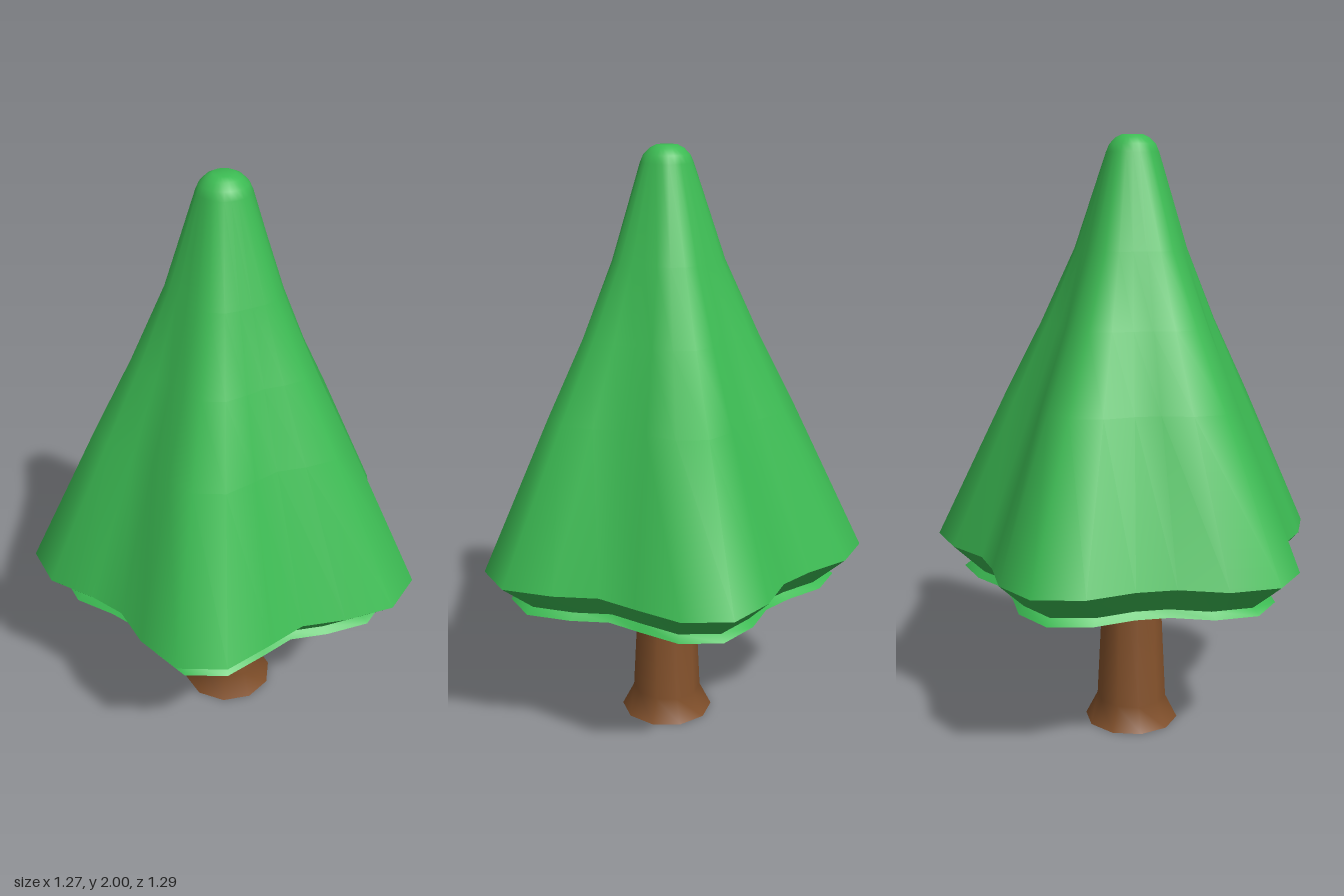
import * as THREE from 'three';

// Radii of the wavy canopy hem, evenly spaced counter-clockwise from +x
const HEM = [
  0.675, 0.606, 0.53, 0.547, 0.628, 0.672, 0.617, 0.535, 0.528, 0.61, 0.668, 0.633, 0.544,
  0.521, 0.59, 0.664, 0.651, 0.564, 0.52, 0.578, 0.66, 0.669, 0.589, 0.526, 0.567, 0.65,
];
const MEAN = 0.598;

// Smooth surface through closed rings, ordered from the top; each row is [y, mean radius, waviness]
function ringSurface(rows) {
  const n = HEM.length;
  const positions = [];
  const index = [];
  rows.forEach(([y, radius, wave], i) => {
    HEM.forEach((hem, j) => {
      const angle = (j / n) * Math.PI * 2;
      const r = radius * (1 + wave * (hem / MEAN - 1));
      positions.push(r * Math.cos(angle), y, -r * Math.sin(angle));
      if (i === rows.length - 1) return;
      const next = (j + 1) % n;
      const a = i * n + j, b = a + n, c = (i + 1) * n + next, d = i * n + next;
      index.push(a, b, c);
      if (radius > 0) index.push(a, c, d);
    });
  });
  const geometry = new THREE.BufferGeometry();
  geometry.setAttribute('position', new THREE.Float32BufferAttribute(positions, 3));
  geometry.setIndex(index);
  geometry.computeVertexNormals();
  return geometry;
}

export function createModel() {
  const leafGreen = new THREE.MeshStandardMaterial({ color: 0x3cbb53 });
  leafGreen.name = 'leafGreen';
  const barkBrown = new THREE.MeshStandardMaterial({ color: 0x83512b });
  barkBrown.name = 'barkBrown';

  const tree = new THREE.Group();
  tree.name = 'tree';
  const add = (name, geometry, material) => {
    const mesh = new THREE.Mesh(geometry, material);
    mesh.name = name;
    tree.add(mesh);
    return mesh;
  };

  // Canopy sections are separate so the hem edges stay sharp
  const canopy = {
    canopyTop: [
      [2, 0, 0], [2, 0.035, 0], [1.99, 0.055, 0], [1.97, 0.075, 0], [1.945, 0.086, 0],
      [1.64, 0.182, 0.35], [1.4, 0.277, 0.72], [1.15, 0.387, 0.9], [0.65, 0.599, 1],
    ],
    canopyUndercut: [[0.65, 0.599, 1], [0.556, 0.498, 1]],
    canopyLip: [[0.556, 0.498, 1], [0.535, 0.52, 1]],
    canopyUnderside: [[0.535, 0.52, 1], [0.615, 0.43, 0.9], [0.645, 0.3, 0.6], [0.65, 0.07, 0]],
  };
  for (const [name, rows] of Object.entries(canopy)) add(name, ringSurface(rows), leafGreen);

  // Ten-sided trunk with a flared foot
  const trunkProfile = [[0.161, 0], [0.12, 0.08], [0.09, 0.68]].map(([r, y]) => new THREE.Vector2(r, y));
  add('trunk', new THREE.LatheGeometry(trunkProfile, 10, Math.PI / 2), barkBrown);
  add('trunkBase', new THREE.CircleGeometry(0.161, 10), barkBrown).rotation.x = Math.PI / 2;

  // The tree stands slightly off the centre of its wavy hem
  tree.position.set(-0.042, 0, -0.012);
  const model = new THREE.Group();
  model.name = 'model';
  model.add(tree);
  return model;
}
